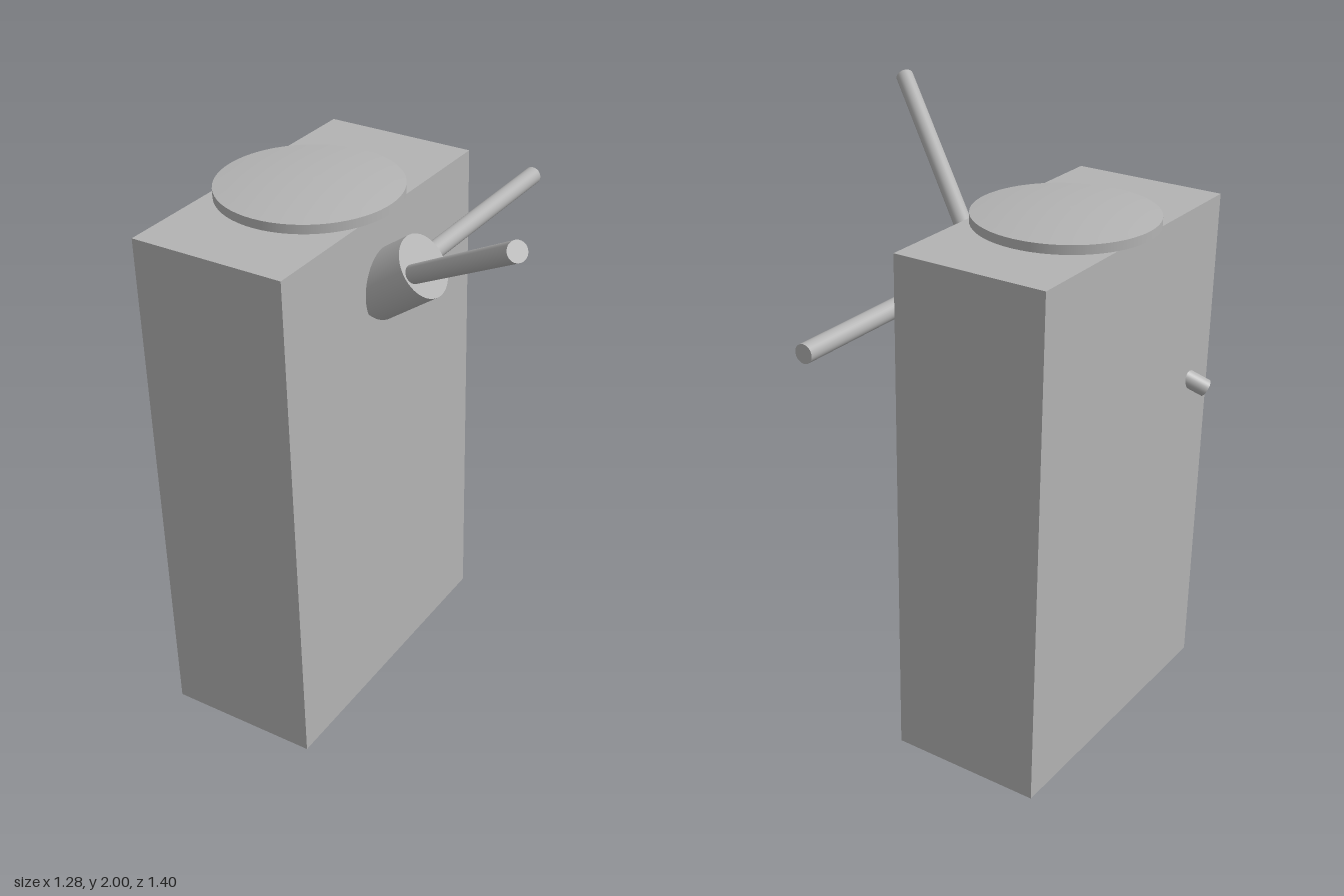
import * as THREE from 'three';

export function createModel() {
  const group = new THREE.Group();
  const grey = new THREE.MeshStandardMaterial({ color: 0xb3b3b3 });
  grey.name = 'grey';

  const add = (name, geometry, x, y, z) => {
    const mesh = new THREE.Mesh(geometry, grey);
    mesh.name = name;
    mesh.position.set(x, y, z);
    group.add(mesh);
    return mesh;
  };

  // Tall block standing on the ground
  add('body', new THREE.BoxGeometry(0.522, 1.75, 1.05), -0.317, 0.875, 0.175);

  // Round lid: straight rim, then a shallow dome with a sharp edge between
  const lidRadius = 0.295, rim = 0.03, rise = 0.02;
  const side = [[0, 0], [lidRadius, 0], [lidRadius, 0], [lidRadius, rim]];
  const dome = [];
  for (let i = 0; i <= 8; i++) {
    const t = 1 - i / 8;
    dome.push([lidRadius * t, rim + rise * (1 - t * t)]);
  }
  const lathe = (points) =>
    new THREE.LatheGeometry(points.map(([r, y]) => new THREE.Vector2(r, y)), 64);
  add('lidBase', lathe(side.slice(0, 2)), -0.317, 1.751, 0.175);
  add('lidRim', lathe(side.slice(2)), -0.317, 1.751, 0.175);
  add('lidDome', lathe(dome), -0.317, 1.751, 0.175);

  // Tilted hub with three evenly spaced rods in the plane of its axis and z
  const up = new THREE.Vector3(0, 1, 0);
  const tilt = THREE.MathUtils.degToRad(35);
  const axis = new THREE.Vector3(Math.cos(tilt), Math.sin(tilt), 0);
  const centre = new THREE.Vector3(0, 1.542, 0.175);
  const hub = add('hub', new THREE.CylinderGeometry(0.103, 0.103, 0.21, 48), ...centre);
  hub.quaternion.setFromUnitVectors(up, axis);

  const length = 0.875;
  for (let i = 0; i < 3; i++) {
    const angle = Math.PI + (i * 2 * Math.PI) / 3;
    const dir = axis.clone().multiplyScalar(Math.sin(angle));
    dir.z = Math.cos(angle);
    const middle = centre.clone().addScaledVector(dir, length / 2);
    const rod = add(`rod${i + 1}`, new THREE.CylinderGeometry(0.03, 0.03, length, 32), ...middle);
    rod.quaternion.setFromUnitVectors(up, dir);
  }
  return group;
}
